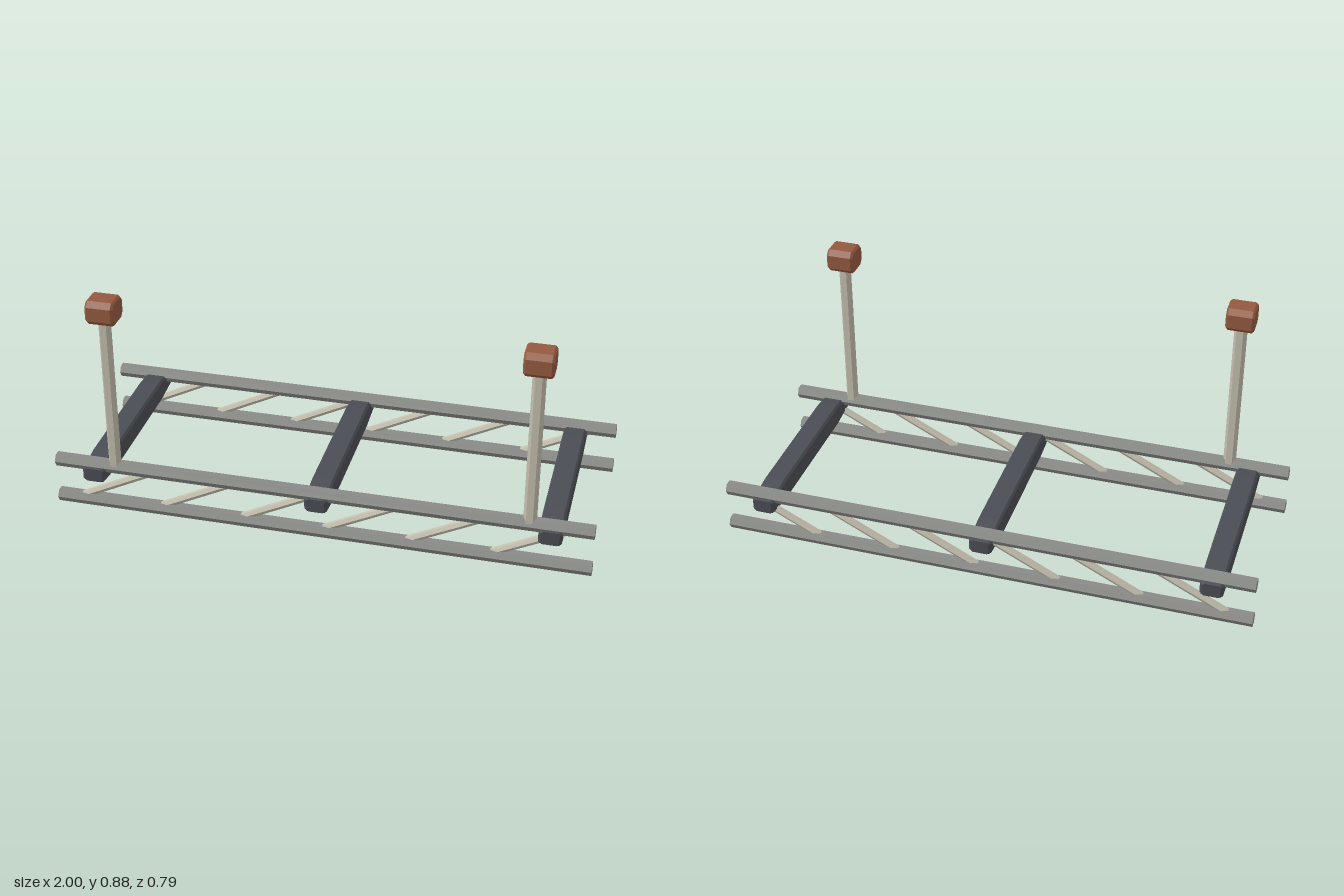
import * as THREE from 'three';

const mat = (name, color) => {
  const m = new THREE.MeshStandardMaterial({ color, flatShading: true });
  m.name = name;
  return m;
};

// Solid along z through chamfered rectangles: [z, halfWidth, halfHeight, cut]
function loft(rings) {
  const pts = rings.map(([z, w, h, c]) => [
    [w, c - h], [w, h - c], [w - c, h], [c - w, h],
    [-w, h - c], [-w, c - h], [c - w, -h], [w - c, -h],
  ].map(([x, y]) => [x, y, z]));
  const pos = [];
  const tri = (a, b, c) => pos.push(...a, ...b, ...c);
  for (let i = 0; i < pts.length - 1; i++) {
    for (let j = 0; j < 8; j++) {
      const k = (j + 1) % 8;
      tri(pts[i][j], pts[i][k], pts[i + 1][k]);
      tri(pts[i][j], pts[i + 1][k], pts[i + 1][j]);
    }
  }
  const first = pts[0], last = pts[pts.length - 1];
  for (let j = 1; j < 7; j++) {
    tri(first[0], first[j + 1], first[j]);
    tri(last[0], last[j], last[j + 1]);
  }
  const g = new THREE.BufferGeometry();
  g.setAttribute('position', new THREE.Float32BufferAttribute(pos, 3));
  g.computeVertexNormals();
  return g;
}

const hexRod = (radius, length) => new THREE.CylinderGeometry(radius, radius, length, 6);

export function createModel() {
  const model = new THREE.Group();
  model.name = 'trussFrame';
  const steel = mat('grey steel', 0x898b87);
  const pale = mat('pale metal', 0xc2bdad);
  const dark = mat('dark beam', 0x4a4d53);
  const rust = mat('brown cap', 0x935a40);

  const add = (name, geometry, material, x, y, z) => {
    const m = new THREE.Mesh(geometry, material);
    m.name = name;
    m.position.set(x, y, z);
    model.add(m);
  };

  const lowY = 0.025, highY = 0.18, frontZ = 0.341, backZ = -0.354;

  // Two trusses: hexagonal rails joined by parallel diagonal struts
  const rail = hexRod(0.0267, 2).rotateZ(Math.PI / 2);
  const bay = 0.309, rise = highY - lowY;
  const strut = hexRod(0.0145, Math.hypot(bay, rise)).rotateZ(-Math.atan2(bay, rise));
  for (const [side, z] of [['front', frontZ], ['back', backZ]]) {
    add(side + 'LowerRail', rail, steel, 0, lowY, z);
    add(side + 'UpperRail', rail, steel, 0, highY, z);
    for (let i = 0; i < 6; i++) {
      add(side + 'Strut' + (i + 1), strut, pale, (i - 2.5) * bay, (lowY + highY) / 2, z);
    }
  }

  // Tapered cross beams
  const beam = loft([
    [-0.385, 0.033, 0.026, 0.007], [-0.377, 0.042, 0.028, 0.008],
    [-0.26, 0.042, 0.0425, 0.008], [0.26, 0.042, 0.0425, 0.008],
    [0.377, 0.042, 0.028, 0.008], [0.385, 0.033, 0.026, 0.007],
  ]);
  [['right', -0.847], ['middle', 0], ['left', 0.847]].forEach(([n, x]) =>
    add(n + 'CrossBeam', beam, dark, x, 0.15, -0.008));

  // Front posts with chamfered caps
  const post = hexRod(0.0243, 0.63).rotateY(Math.PI / 2);
  const cap = loft([
    [-0.052, 0.0465, 0.0385, 0.016], [-0.044, 0.0535, 0.0455, 0.019],
    [0.044, 0.0535, 0.0455, 0.019], [0.052, 0.0465, 0.0385, 0.016],
  ]).rotateY(Math.PI / 2);
  for (const [n, x] of [['right', -0.77], ['left', 0.77]]) {
    add(n + 'Post', post, pale, x, 0.495, frontZ);
    add(n + 'PostCap', cap, rust, x, 0.833, frontZ);
  }
  return model;
}
